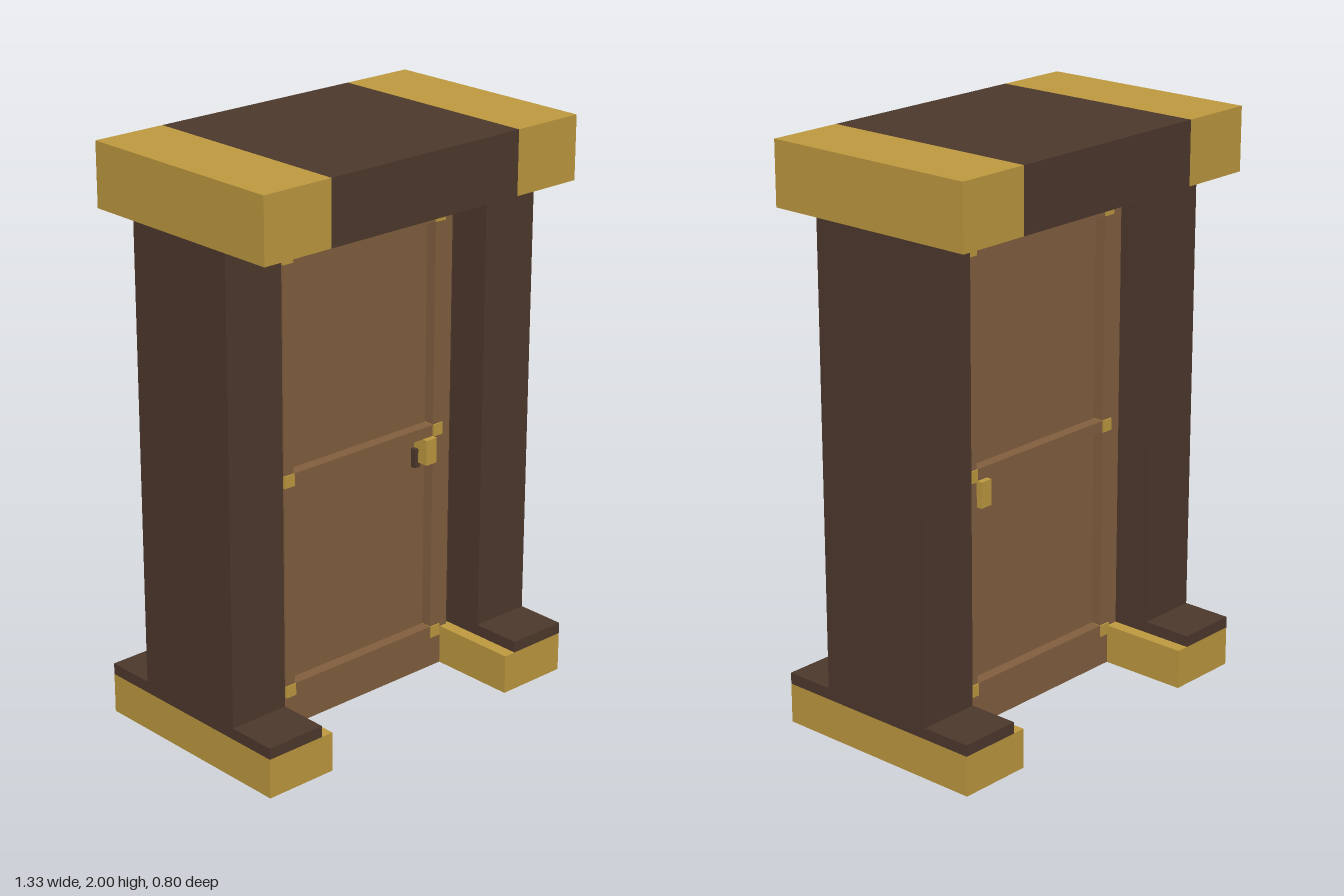
import * as THREE from 'three';

export function createModel() {
  const model = new THREE.Group();
  model.name = 'doorway';

  const material = (name, color) => {
    const m = new THREE.MeshStandardMaterial({ color });
    m.name = name;
    return m;
  };
  const gold = material('gold', 0xc09b40);
  const darkWood = material('dark wood', 0x4e392d);
  const doorWood = material('door wood', 0x846140);

  // Box given by its lower and upper limits on each axis
  const box = (name, mat, [x0, x1], [y0, y1], [z0, z1]) => {
    const mesh = new THREE.Mesh(new THREE.BoxGeometry(x1 - x0, y1 - y0, z1 - z0), mat);
    mesh.position.set((x0 + x1) / 2, (y0 + y1) / 2, (z0 + z1) / 2);
    mesh.name = name;
    model.add(mesh);
    return mesh;
  };
  // Limits on one side, s = 1 or -1
  const side = (s, a, b) => (s > 0 ? [a, b] : [-b, -a]);

  // Lintel
  box('lintel', darkWood, [-0.4, 0.4], [1.78, 2], [-0.4, 0.4]);

  for (const s of [1, -1]) {
    const post = side(s, 0.445, 0.667);
    const block = side(s, 0.4, 0.667);
    box('lintelEnd', gold, block, [1.78, 2], [-0.4, 0.4]);
    box('lintelInset', darkWood, side(s, 0.465, 0.617), [1.776, 1.781], [-0.36, 0.36]);
    box('post', darkWood, post, [0.18, 1.78], [-0.22, 0.22]);
    box('plinth', darkWood, post, [0.14, 0.18], [-0.4, 0.4]);
    box('foot', gold, block, [0, 0.14], [-0.4, 0.4]);
  }

  // Door leaf and the jamb strip on its latch side
  box('doorLeaf', doorWood, [-0.446, 0.43], [0, 1.78], [-0.08, 0.08]);
  box('jambStrip', darkWood, [0.43, 0.446], [0.14, 1.78], [-0.07, 0.07]);

  // Raised mouldings, corner studs and handle on both faces
  const rails = [0.16, 0.915, 1.67];
  for (const f of [1, -1]) {
    const raised = side(f, 0.08, 0.12);
    for (const s of [1, -1]) {
      box('uprightMoulding', doorWood, side(s, 0.313, 0.353), [0.14, 1.69], raised);
    }
    for (const y of rails) {
      box('railMoulding', doorWood, [-0.313, 0.313], [y - 0.02, y + 0.02], raised);
      for (const s of [1, -1]) {
        box('cornerStud', gold, side(s, 0.312, 0.354), [y - 0.021, y + 0.021], side(f, 0.08, 0.125));
      }
    }
    box('handle', gold, [0.265, 0.312], [0.805, 0.895], side(f, 0.08, 0.14));
    box('latch', darkWood, [0.25, 0.275], [0.788, 0.855], side(f, 0.08, 0.1));
  }

  return model;
}
